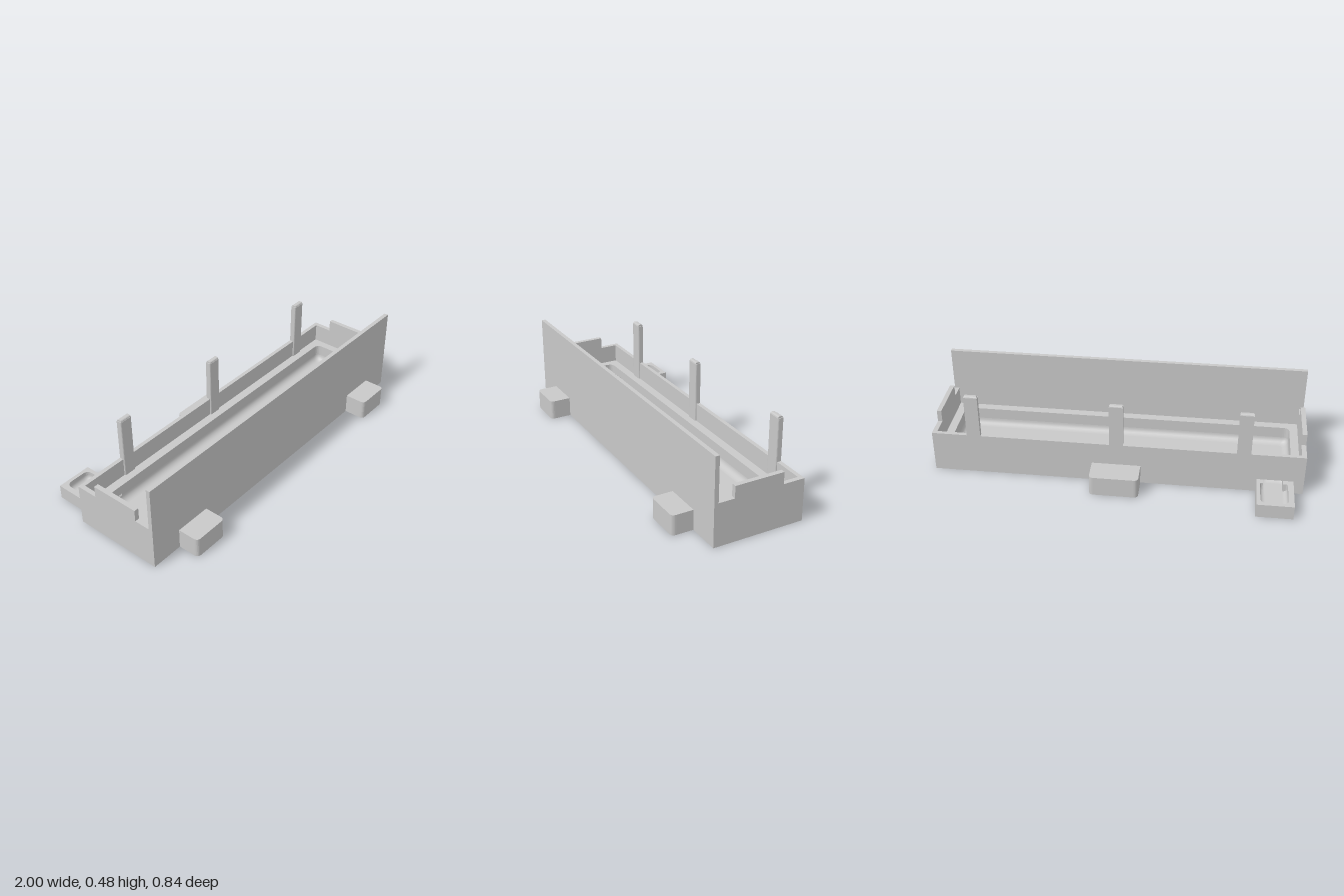
import * as THREE from 'three';

// Closed outline from [x, z, cornerRadius] points (shape y is -z)
function trace(path, pts) {
  const n = pts.length;
  pts.forEach(([x, z, r = 0], i) => {
    const c = new THREE.Vector2(x, -z);
    const toward = ([px, pz]) => new THREE.Vector2(px, -pz).sub(c).setLength(r).add(c);
    const a = toward(pts[(i + n - 1) % n]);
    const b = toward(pts[(i + 1) % n]);
    if (i === 0) path.moveTo(a.x, a.y); else path.lineTo(a.x, a.y);
    if (r > 0) path.quadraticCurveTo(c.x, c.y, b.x, b.y);
  });
  path.closePath();
  return path;
}

const rect = (x0, x1, z0, z1, r = 0) => [[x0, z0, r], [x1, z0, r], [x1, z1, r], [x0, z1, r]];

// Upright slab between two heights, with optional holes
function slab(pts, y0, y1, holes = []) {
  const shape = trace(new THREE.Shape(), pts);
  holes.forEach(h => shape.holes.push(trace(new THREE.Path(), h)));
  const g = new THREE.ExtrudeGeometry(shape, { depth: y1 - y0, bevelEnabled: false, curveSegments: 6 });
  return g.rotateX(-Math.PI / 2).translate(0, y0, 0);
}

// Curved cove where hollow walls meet the floor
function cove(x0, x1, z0, z1, y, r) {
  const rings = [], steps = 6, pos = [], idx = [];
  for (let i = 0; i <= steps; i++) {
    const a = (i / steps) * Math.PI / 2, d = r * (1 - Math.cos(a));
    const p = trace(new THREE.Path(), rect(x0 + d, x1 - d, z0 + d, z1 - d, 0.035 - d * 0.5)).getPoints(6);
    rings.push(p);
    p.forEach(v => pos.push(v.x, y + r * (1 - Math.sin(a)), -v.y));
  }
  const n = rings[0].length;
  for (let i = 0; i < steps; i++) for (let j = 0; j < n - 1; j++) {
    const a = i * n + j, b = a + 1, c = a + n, d = c + 1;
    idx.push(a, c, b, b, c, d);
  }
  const g = new THREE.BufferGeometry();
  g.setAttribute('position', new THREE.Float32BufferAttribute(pos, 3));
  g.setIndex(idx);
  g.computeVertexNormals();
  return g;
}

export function createModel() {
  const model = new THREE.Group();
  const grey = new THREE.MeshStandardMaterial({ color: 0xc8c8c8 });
  grey.name = 'lightGrey';
  grey.side = THREE.DoubleSide;
  const add = (name, geometry) => {
    const m = new THREE.Mesh(geometry, grey);
    m.name = name;
    model.add(m);
  };

  const floorY = 0.03, cupY = 0.078, ledgeY = 0.13, rimY = 0.233, topY = 0.477;
  const body = rect(-1, 1, -0.2, 0.3);
  const basin = rect(-0.93, 0.93, -0.13, 0.23, 0.035);

  // Tray body with the side cup joined to its back
  const footprint = [[-1, -0.2], [-0.945, -0.2], [-0.945, -0.42], [-0.75, -0.42],
    [-0.75, -0.2], [1, -0.2], [1, 0.3], [-1, 0.3]];
  add('base', slab(footprint, 0, floorY));

  // Basin, drain neck and cup hollow share one opening
  const hollow = [[-0.93, -0.13, 0.035], [-0.89, -0.13], [-0.89, -0.23], [-0.915, -0.23, 0.012],
    [-0.915, -0.4, 0.035], [-0.77, -0.4, 0.035], [-0.77, -0.23, 0.012], [-0.785, -0.23],
    [-0.785, -0.13], [0.93, -0.13, 0.035], [0.93, 0.23, 0.035], [-0.93, 0.23, 0.035]];
  add('lowerWalls', slab(footprint, floorY, cupY, [hollow]));
  add('ledge', slab(body, cupY, ledgeY, [basin]));
  add('basinCove', cove(-0.93, 0.93, -0.13, 0.23, floorY + 0.001, 0.035));
  add('cupCove', cove(-0.915, -0.77, -0.4, -0.14, floorY + 0.001, 0.025));

  // Thin rim around the ledge
  add('rim', slab(body, ledgeY, rimY, [rect(-0.975, 0.975, -0.178, 0.277)]));

  // Tall front panel
  add('frontPanel', slab(rect(-1, 1, 0.277, 0.3), rimY, topY));

  // Raised tabs on both ends
  add('rightEndTab', slab(rect(-1, -0.975, -0.08, 0.19), rimY, 0.298));
  add('leftEndTab', slab(rect(0.975, 1, -0.08, 0.19), rimY, 0.298));

  // Back posts: inner edges rounded, tips rounded from front to back
  const tipY = 0.468;
  for (const x of [-0.675, 0, 0.77]) {
    const x0 = x - 0.037, x1 = x + 0.037;
    add('backPost', slab([[x0, -0.2], [x1, -0.2], [x1, -0.17, 0.009], [x0, -0.17, 0.009]], ledgeY, tipY));
    const tip = new THREE.Shape();
    tip.moveTo(0.2, tipY);
    tip.quadraticCurveTo(0.198, topY, 0.19, topY);
    tip.lineTo(0.182, topY);
    tip.quadraticCurveTo(0.173, topY, 0.172, tipY);
    const g = new THREE.ExtrudeGeometry(tip, { depth: 0.066, bevelEnabled: false, curveSegments: 4 });
    add('postTip', g.rotateY(Math.PI / 2).translate(x - 0.033, 0, 0));
  }

  // Feet with rounded outer corners
  for (const x of [-0.722, 0.72]) {
    add('frontFoot', slab([[x - 0.1, 0.3], [x + 0.1, 0.3], [x + 0.1, 0.418, 0.025], [x - 0.1, 0.418, 0.025]], 0, 0.11));
  }
  add('backFoot', slab([[-0.132, -0.2], [-0.132, -0.336, 0.025], [0.13, -0.336, 0.025], [0.13, -0.2]], 0, 0.11));

  return model;
}
